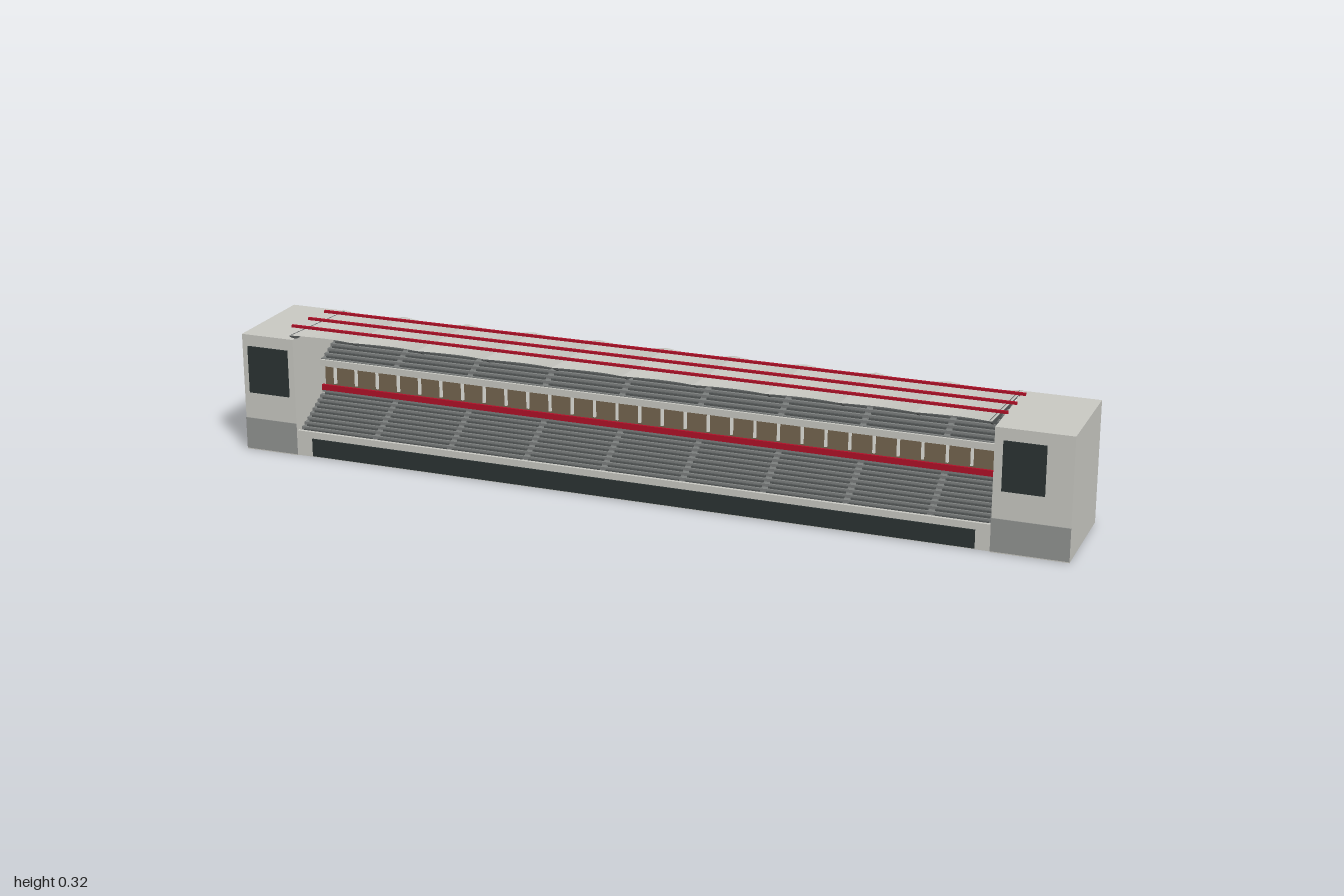
import * as THREE from 'three';

const X0 = -0.865, X1 = 0.825, W = X1 - X0, CX = (X0 + X1) / 2;
const BAYS = 10, BAY = W / BAYS;

function mat(name, color, double = false) {
  const m = new THREE.MeshStandardMaterial({ color });
  m.name = name;
  if (double) m.side = THREE.DoubleSide;
  return m;
}

export function createModel() {
  const model = new THREE.Group();
  model.name = 'grandstand';
  const light = mat('pale concrete', 0xc9c9c3, true);
  const grey = mat('grey plinth', 0x929492);
  const step = mat('step grey', 0x7c7f7e);
  const seat = mat('seat grey', 0x565a5a);
  const dark = mat('dark glass', 0x2b3333);
  const brown = mat('brown glazing', 0x75654f);
  const red = mat('red', 0xb01028);
  const white = mat('white', 0xe2e2dc);

  // Box given by its minimum and maximum corners
  function box(name, m, x0, x1, y0, y1, z0, z1, parent = model) {
    const mesh = new THREE.Mesh(new THREE.BoxGeometry(x1 - x0, y1 - y0, z1 - z0), m);
    mesh.position.set((x0 + x1) / 2, (y0 + y1) / 2, (z0 + z1) / 2);
    mesh.name = name;
    parent.add(mesh);
    return mesh;
  }
  function group(name) {
    const g = new THREE.Group();
    g.name = name;
    model.add(g);
    return g;
  }

  // End towers with plinth and window plates
  for (const [a, b, w0, w1] of [[-1, X0, -0.985, -0.88], [X1, 1, 0.845, 0.94]]) {
    const tower = group('endTower');
    box('towerBody', light, a, b, 0, 0.288, -0.06, 0.194, tower);
    box('towerPlinth', grey, a, b, 0.003, 0.08, 0.194, 0.196, tower);
    box('towerWindow', dark, w0, w1, 0.145, 0.26, 0.194, 0.198, tower);
  }

  // Front wall with its long dark panel
  box('frontWall', light, X0, X1, 0, 0.062, 0.182, 0.19);
  box('frontPanel', dark, -0.825, 0.79, 0.003, 0.046, 0.19, 0.194);
  box('frontPanelBack', dark, -0.825, 0.79, 0.003, 0.046, 0.179, 0.182);

  // Back wall with glazing strip and dark line
  box('backWall', step, X0, X1, 0, 0.262, -0.058, -0.053);
  box('backGlazing', brown, -0.835, 0.795, 0.143, 0.178, -0.061, -0.058);
  box('backLedge', seat, X0, X1, 0.1, 0.112, -0.061, -0.058);

  // Stepped seating tier, its seat rows split by aisles
  function tier(name, rows, yLow, yHigh, zFront, zBack) {
    const g = group(name);
    const rise = (yHigh - yLow) / rows, run = (zFront - zBack) / rows;
    for (let i = 0; i < rows; i++) {
      const y = yLow + i * rise, z = zFront - i * run;
      box('step', step, X0, X1, y - rise - 0.002, y, z - run, z, g);
      let a = X0 + 0.01;
      for (let k = 0; k <= 8; k++) {
        const b = k < 8 ? -0.675 + k * 0.193 : X1 - 0.01;
        box('seatRow', seat, a, b, y, y + rise * 0.6, z - run * 0.8, z - run * 0.4, g);
        a = b + 0.016;
      }
    }
  }
  tier('lowerTier', 9, 0.058, 0.122, 0.182, 0.06);
  tier('upperTier', 7, 0.203, 0.255, 0.06, -0.053);

  // Box level between the tiers
  box('redParapet', red, X0, X1, 0.123, 0.137, 0.056, 0.062);
  box('boxFloor', step, X0, X1, 0.118, 0.124, 0.03, 0.06);
  box('boxGlazing', brown, X0, X1, 0.122, 0.19, 0.036, 0.042);
  box('upperFascia', light, X0, X1, 0.185, 0.201, 0.036, 0.066);
  const mullions = group('mullions');
  for (let i = 0; i < 30; i++) {
    const x = X0 + (i + 0.5) * W / 30;
    box('mullion', white, x - 0.003, x + 0.003, 0.137, 0.186, 0.042, 0.048, mullions);
  }
  box('topRail', white, X0, X1, 0.27, 0.273, -0.056, -0.053);

  // Roof of shallow sagging bays with a scalloped front edge
  const SEG = 10;
  const roofY = z => 0.29 + (z + 0.06) * 0.0667;
  const roofGeo = new THREE.PlaneGeometry(1, 1, BAYS * SEG, 6);
  const p = roofGeo.attributes.position;
  for (let i = 0; i < p.count; i++) {
    const u = p.getX(i) + 0.5, v = p.getY(i) + 0.5;
    const arc = Math.sin(Math.PI * ((u * BAYS) % 1));
    const z = 0.224 - 0.037 * arc + v * (-0.06 - 0.224 + 0.037 * arc);
    p.setXYZ(i, X0 + u * W, roofY(z) - 0.008 * arc, z);
  }
  const flatRoof = roofGeo.toNonIndexed();
  flatRoof.computeVertexNormals();
  const roof = new THREE.Mesh(flatRoof, light);
  roof.name = 'roof';
  model.add(roof);

  // Tapered roof beams and back posts at every bay line
  const beams = group('roofBeams');
  const profile = new THREE.Shape();
  profile.moveTo(-0.055, 0.286);
  profile.lineTo(0.19, 0.291);
  profile.lineTo(0.212, 0.302);
  profile.lineTo(0.212, roofY(0.212) - 0.001);
  profile.lineTo(-0.055, roofY(-0.055) - 0.001);
  const beamGeo = new THREE.ExtrudeGeometry(profile, { depth: 0.006, bevelEnabled: false });
  beamGeo.rotateY(-Math.PI / 2);
  const canopy = group('rearCanopy');
  for (let i = 0; i <= BAYS; i++) {
    const x = Math.min(X1 - 0.006, Math.max(X0 + 0.006, X0 + i * BAY));
    const beam = new THREE.Mesh(beamGeo, seat);
    beam.name = 'roofBeam';
    beam.position.x = x + 0.003;
    beams.add(beam);
    box('roofPost', seat, x - 0.002, x + 0.002, 0.25, 0.288, -0.054, -0.05, beams);
    box('canopyPost', seat, x - 0.003, x + 0.003, 0, 0.084, -0.105, -0.1, canopy);
  }
  box('canopySlab', light, X0, X1, 0.083, 0.087, -0.224, -0.058, canopy);

  // Red bars running along the roof
  for (const [z, y] of [[0.165, 0.313], [0.085, 0.308], [0.005, 0.303]])
    box('roofBar', red, -0.88, 0.845, y - 0.003, y + 0.003, z - 0.003, z + 0.003);

  return model;
}
